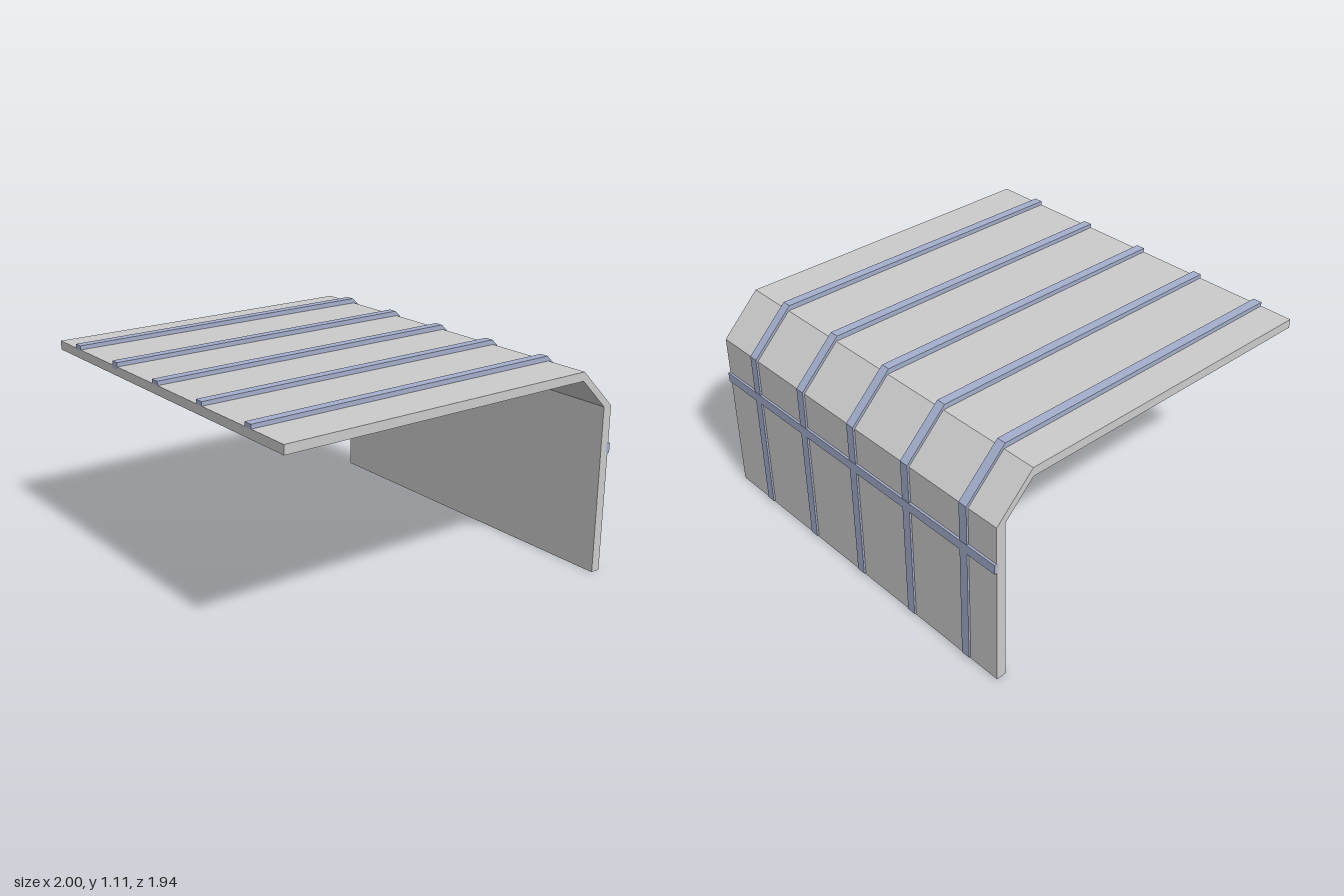
import * as THREE from 'three';

const WIDTH = 2;
const grey = new THREE.MeshStandardMaterial({ color: 0xcccccc, flatShading: true });
const blue = new THREE.MeshStandardMaterial({ color: 0xa4aecc, flatShading: true });

// Extrude a side profile of [z, y] points across the width, centred on x
function sideExtrusion(name, points, width, x, material) {
  const shape = new THREE.Shape(points.map(([z, y]) => new THREE.Vector2(z, y)));
  const geometry = new THREE.ExtrudeGeometry(shape, { depth: width, bevelEnabled: false });
  geometry.translate(0, 0, -width / 2);
  geometry.rotateY(-Math.PI / 2);
  const mesh = new THREE.Mesh(geometry, material);
  mesh.name = name;
  mesh.position.x = x;
  return mesh;
}

export function createModel() {
  const model = new THREE.Group();
  model.name = 'ribbedCanopy';

  // Bent sheet: flat roof, sloping shoulder and upright back
  model.add(sideExtrusion('panel', [
    [0.97, 1.08], [-0.755, 1.08], [-0.96, 0.876], [-0.96, 0],
    [-0.91, 0], [-0.91, 0.877], [-0.753, 1.034], [0.97, 1.034],
  ], WIDTH, 0, grey));

  // Raised ribs following the outside of the sheet
  const ribs = new THREE.Group();
  ribs.name = 'ribs';
  const ribProfile = [
    [0.97, 1.101], [-0.748, 1.106], [-0.97, 0.887], [-0.97, 0.01],
    [-0.95, 0.01], [-0.95, 0.87], [-0.755, 1.065], [0.97, 1.065],
  ];
  for (let i = 0; i < 5; i++) {
    ribs.add(sideExtrusion('rib', ribProfile, 0.048, -0.8 + i * 0.385, blue));
  }
  model.add(ribs);

  // Horizontal bar across the back
  const bar = new THREE.Mesh(new THREE.BoxGeometry(WIDTH, 0.05, 0.022), blue);
  bar.name = 'backBar';
  bar.position.set(0, 0.655, -0.961);
  model.add(bar);

  return model;
}
